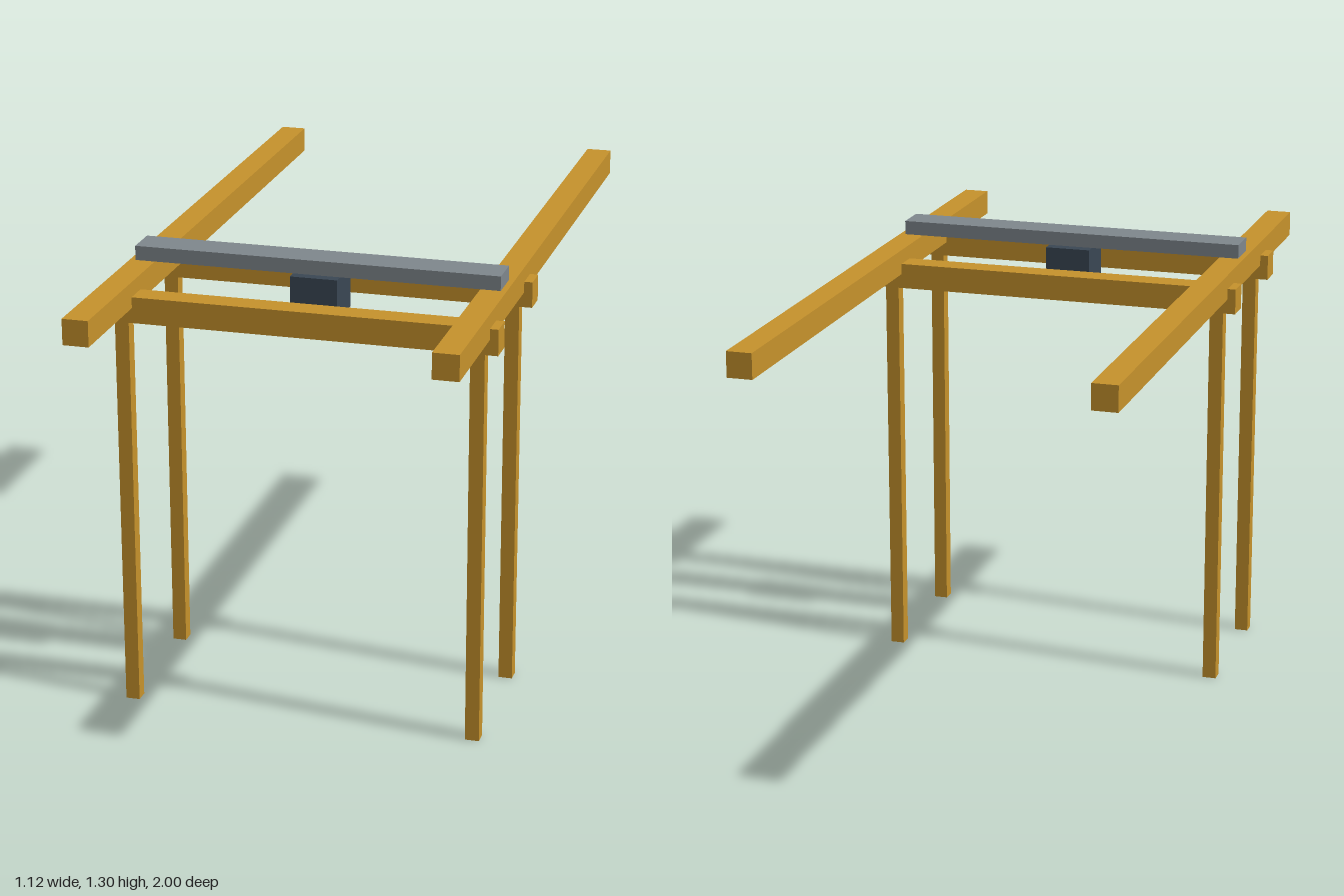
import * as THREE from 'three';

export function createModel() {
  const model = new THREE.Group();
  const wood = new THREE.MeshStandardMaterial({ color: 0xc6922c });
  wood.name = 'ochre timber';
  const steel = new THREE.MeshStandardMaterial({ color: 0x7f878d });
  steel.name = 'grey steel';
  const dark = new THREE.MeshStandardMaterial({ color: 0x3a4754 });
  dark.name = 'dark slate';

  // Box given by its centre in x and z, and its bottom and top in y
  function block(name, material, x, z, y0, y1, width, depth) {
    const mesh = new THREE.Mesh(new THREE.BoxGeometry(width, y1 - y0, depth), material);
    mesh.position.set(x, (y0 + y1) / 2, z);
    mesh.name = name;
    model.add(mesh);
  }

  const frames = [['front', 0.626], ['back', 0.208]];
  const sides = [['Left', 0.5], ['Right', -0.5]];

  // Two portal frames: a pair of legs under a cross beam
  for (const [frame, z] of frames) {
    for (const [side, x] of sides) block(frame + side + 'Leg', wood, x, z, 0, 1.147, 0.04, 0.04);
    block(frame + 'CrossBeam', wood, 0, z, 1.147, 1.221, 1.12, 0.073);
  }

  // Long runway rails notched over the cross beams
  for (const [side, x] of sides) block('runwayRail' + side, wood, x, 0, 1.19, 1.263, 0.073, 2);

  // Travelling bridge with its hoist below
  block('bridge', steel, 0, 0.417, 1.263, 1.304, 1.04, 0.1);
  block('hoist', dark, 0, 0.417, 1.142, 1.259, 0.134, 0.134);

  return model;
}
